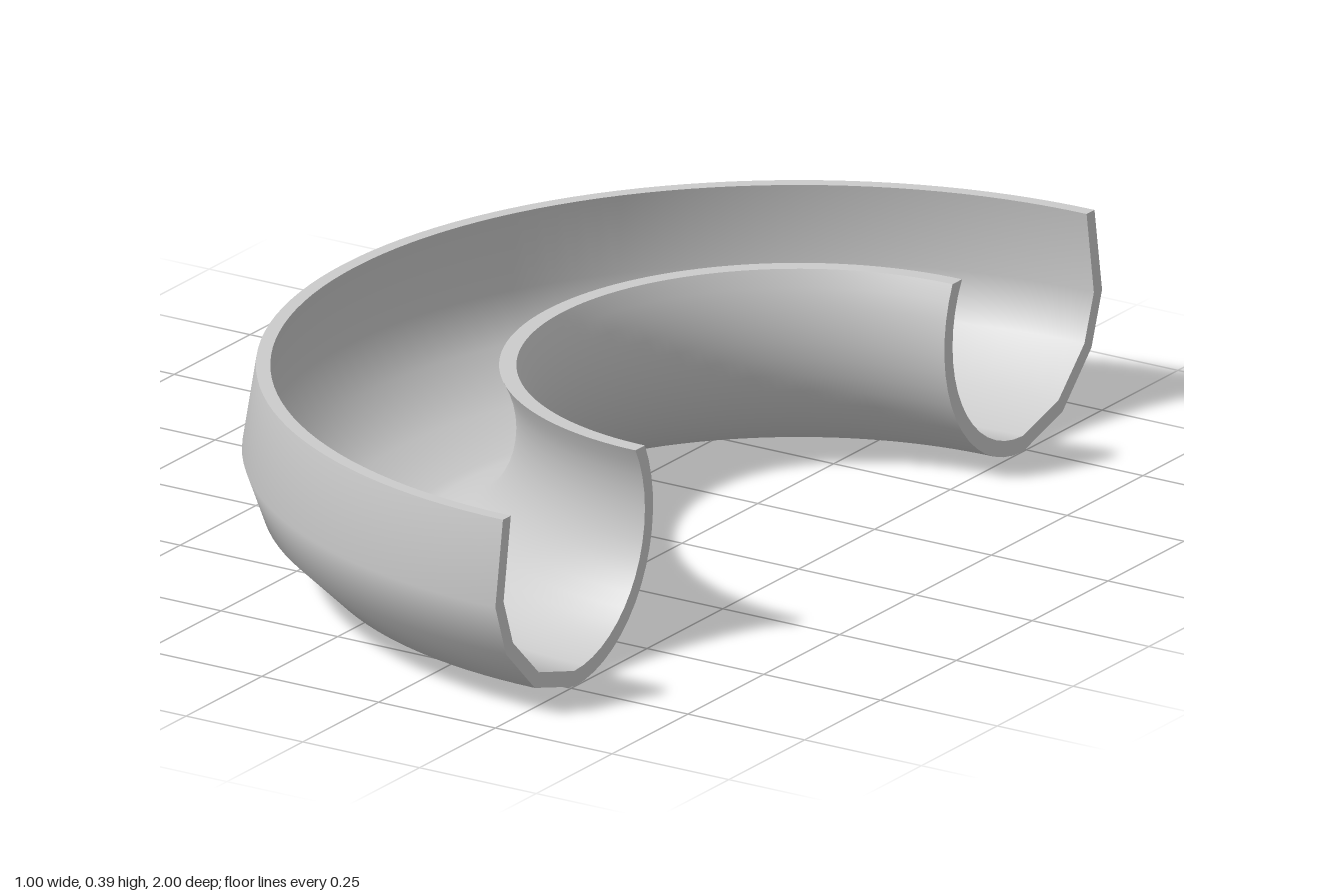
import * as THREE from 'three';

const AXIS_X = 0.5;   // the half ring turns about this vertical axis
const SEGMENTS = 72;

// Quarter-and-a-bit arc of the inner wall, from its rim down to the bottom
function innerArc(rx, ry, top) {
  const points = [];
  const start = Math.PI - Math.asin((top - 0.27) / ry);
  for (let i = 0; i < 16; i++) {
    const a = start + (1.5 * Math.PI - start) * (i / 16);
    points.push(new THREE.Vector2(0.74 + rx * Math.cos(a), 0.27 + ry * Math.sin(a)));
  }
  return points;
}

const toPoints = (list) => list.map(([r, y]) => new THREE.Vector2(r, y));

export function createModel() {
  const group = new THREE.Group();
  group.name = 'curvedGutter';
  const material = new THREE.MeshStandardMaterial({ color: 0xcccccc });

  const add = (name, geometry) => {
    const mesh = new THREE.Mesh(geometry, material);
    mesh.name = name;
    mesh.position.x = AXIS_X;
    group.add(mesh);
  };
  const sweep = (name, points) =>
    add(name, new THREE.LatheGeometry(points, SEGMENTS, Math.PI, Math.PI));

  // Cross-section: round towards the axis, faceted on the far side
  const outside = [
    ...innerArc(0.26, 0.27, 0.39),
    ...toPoints([[0.74, 0], [0.87, 0.037], [0.965, 0.13], [1, 0.23], [0.975, 0.39]]),
  ];
  const inside = [
    ...innerArc(0.233, 0.24, 0.39),
    ...toPoints([[0.74, 0.03], [0.857, 0.063], [0.942, 0.145], [0.973, 0.233], [0.949, 0.39]]),
  ].reverse();

  // Skins and flat rims, kept apart so the edges stay sharp
  sweep('outerSkin', outside);
  sweep('innerSkin', inside);
  sweep('outerRim', [outside.at(-1), inside[0]]);
  sweep('innerRim', [inside.at(-1), outside[0]]);

  // Cut faces closing the wall thickness at both ends
  for (const [name, side] of [['backEnd', 1], ['frontEnd', -1]]) {
    const outline = [...outside, ...inside].map((p) => new THREE.Vector2(p.x * side, p.y));
    const geometry = new THREE.ShapeGeometry(new THREE.Shape(outline));
    geometry.rotateY(Math.PI / 2);
    add(name, geometry);
  }
  return group;
}
